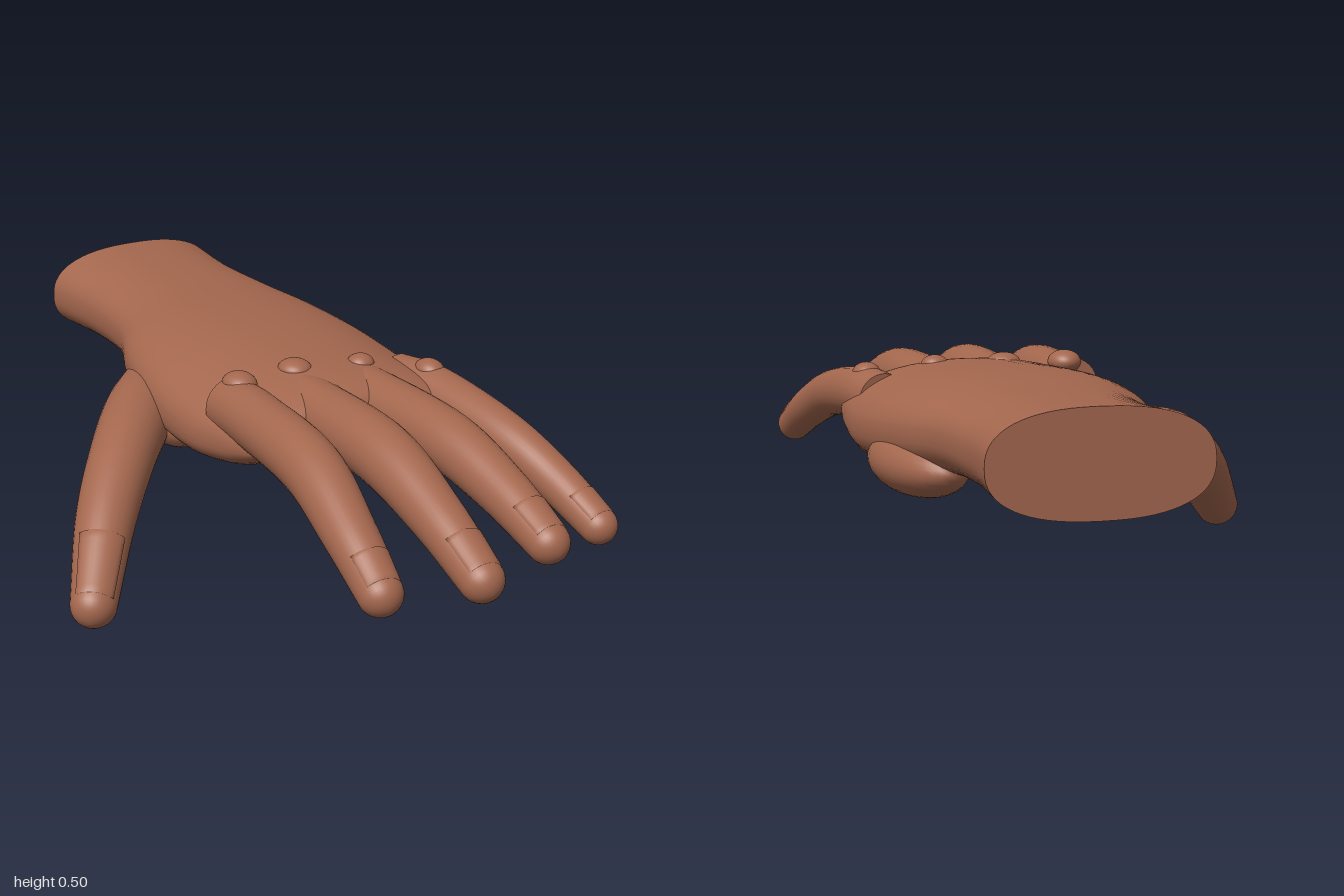
import * as THREE from 'three';

const skin = new THREE.MeshStandardMaterial({ color: 0xa4674e });
skin.name = 'skin';

const SIDES = 32;
const V = (x, y, z) => new THREE.Vector3(x, y, z);

function addMesh(parent, name, geometry) {
  const mesh = new THREE.Mesh(geometry, skin);
  mesh.name = name;
  parent.add(mesh);
  return mesh;
}

// Closed skin over rings of points, with flat caps on both ends
function loft(rings) {
  const pos = [], index = [], n = rings[0].length;
  const push = (p) => pos.push(p.x, p.y, p.z);
  rings.forEach((ring) => ring.forEach(push));
  for (let i = 0; i < rings.length - 1; i++) {
    for (let j = 0; j < n; j++) {
      const k = (j + 1) % n;
      const a = i * n + j, b = i * n + k, c = a + n, d = b + n;
      index.push(a, b, c, b, d, c);
    }
  }
  [rings[0], rings[rings.length - 1]].forEach((ring, end) => {
    const start = pos.length / 3;
    ring.forEach(push);
    push(ring.reduce((s, p) => s.add(p), V(0, 0, 0)).divideScalar(n));
    for (let j = 0; j < n; j++) {
      const k = (j + 1) % n;
      if (end) index.push(start + n, start + j, start + k);
      else index.push(start + n, start + k, start + j);
    }
  });
  const geometry = new THREE.BufferGeometry();
  geometry.setAttribute('position', new THREE.Float32BufferAttribute(pos, 3));
  geometry.setIndex(index);
  geometry.computeVertexNormals();
  return geometry;
}

// Tapered digit through [x, y, z, radius] points, with a round tip and a nail
function makeDigit(name, points, nailFrom, nailTo, nailTurn) {
  const group = new THREE.Group();
  group.name = name;
  const path = new THREE.CatmullRomCurve3(points.map((p) => V(p[0], p[1], p[2])), false, 'catmullrom', 0.5);
  const radii = new THREE.CatmullRomCurve3(points.map((p) => V(p[3], 0, 0)), false, 'catmullrom', 0.5);

  const surface = (t, angle, scale = 1, cap = 0) => {
    const tangent = path.getTangent(t);
    const side = V(0, 1, 0).cross(tangent).normalize();
    const up = tangent.clone().cross(side);
    const r = radii.getPoint(t).x;
    return path.getPoint(t)
      .addScaledVector(tangent, r * Math.sin(cap))
      .addScaledVector(side, r * scale * Math.cos(cap) * Math.cos(angle))
      .addScaledVector(up, r * scale * Math.cos(cap) * Math.sin(angle));
  };
  const ring = (t, cap) => Array.from({ length: SIDES }, (_, j) => surface(t, (j / SIDES) * Math.PI * 2, 1, cap));

  const rings = [];
  for (let i = 0; i <= 32; i++) rings.push(ring(i / 32, 0));
  for (let i = 1; i <= 9; i++) rings.push(ring(1, (i / 9) * 1.53));
  addMesh(group, name + 'Flesh', loft(rings));

  // Nail: a curved plate whose rim dips into the flesh
  const nail = new THREE.PlaneGeometry(1, 1, 12, 10);
  const p = nail.attributes.position;
  for (let i = 0; i < p.count; i++) {
    const u = p.getX(i), v = p.getY(i);
    const rim = Math.abs(u) > 0.49 || Math.abs(v) > 0.49;
    const cu = THREE.MathUtils.clamp(u, -0.417, 0.417) / 0.834;
    const cv = THREE.MathUtils.clamp(v, -0.4, 0.4) / 0.8 + 0.5;
    const q = surface(nailFrom + (nailTo - nailFrom) * cv, Math.PI / 2 + nailTurn + cu * 1.75, rim ? 0.94 : 1.035);
    p.setXYZ(i, q.x, q.y, q.z);
  }
  nail.computeVertexNormals();
  addMesh(group, name + 'Nail', nail);
  return group;
}

// Wrist and palm: z, x range, y range, sagging toward both sides
function makePalm() {
  const rows = [
    [-1, -0.025, 0.48, 0.26, 0.5, 0],
    [-0.8, -0.01, 0.465, 0.27, 0.495, 0],
    [-0.58, -0.03, 0.48, 0.275, 0.495, 0],
    [-0.4, -0.095, 0.515, 0.265, 0.5, 0.01],
    [-0.2, -0.14, 0.538, 0.25, 0.5, 0.02],
    [0, -0.145, 0.54, 0.25, 0.493, 0.03],
    [0.14, -0.125, 0.53, 0.27, 0.487, 0.03],
    [0.22, -0.112, 0.52, 0.305, 0.475, 0.03],
    [0.265, -0.1, 0.505, 0.335, 0.458, 0.03],
    [0.285, -0.08, 0.485, 0.365, 0.435, 0.03],
  ];
  const curve = (pick) => new THREE.CatmullRomCurve3(rows.map(pick), false, 'catmullrom', 0.5);
  const xs = curve((r) => V(r[1], r[2], r[0]));
  const ys = curve((r) => V(r[3], r[4], r[5]));
  const power = (c) => Math.sign(c) * Math.pow(Math.abs(c), 0.82);
  const rings = [];
  for (let i = 0; i <= 54; i++) {
    const a = xs.getPoint(i / 54), b = ys.getPoint(i / 54);
    rings.push(Array.from({ length: 64 }, (_, j) => {
      const angle = (j / 64) * Math.PI * 2;
      const c = power(Math.cos(angle)), s = power(Math.sin(angle));
      return V((a.x + a.y) / 2 + c * (a.y - a.x) / 2, (b.x + b.y) / 2 + s * (b.y - b.x) / 2 - b.z * c * c, a.z);
    }));
  }
  return loft(rings);
}

export function createModel() {
  const hand = new THREE.Group();
  hand.name = 'hand';
  addMesh(hand, 'wristAndPalm', makePalm());

  // Fleshy pads and knuckles: name, centre, radii, turn about y
  const pads = [
    ['thumbPad', [-0.03, 0.29, -0.3], [0.1, 0.085, 0.24], -0.2],
    ['outerPad', [0.45, 0.295, -0.31], [0.1, 0.077, 0.235], 0.08],
    ['fingerBasePad', [0.21, 0.295, 0.02], [0.31, 0.06, 0.13], 0],
    ['indexKnuckle', [-0.035, 0.475, 0.1], [0.042, 0.03, 0.05], 0],
    ['middleKnuckle', [0.13, 0.48, 0.085], [0.042, 0.025, 0.045], 0],
    ['ringKnuckle', [0.3, 0.475, 0.12], [0.035, 0.025, 0.035], 0],
    ['littleKnuckle', [0.46, 0.45, 0.19], [0.036, 0.03, 0.045], 0],
  ];
  for (const [name, centre, size, turn] of pads) {
    const pad = addMesh(hand, name, new THREE.SphereGeometry(1, 32, 20));
    pad.position.set(...centre);
    pad.scale.set(...size);
    pad.rotation.y = turn;
  }

  // Four fingers and the thumb
  hand.add(
    makeDigit('indexFinger', [[-0.045, 0.415, 0.08, 0.072], [-0.05, 0.418, 0.22, 0.073], [-0.07, 0.405, 0.5, 0.073],
      [-0.1, 0.33, 0.72, 0.063], [-0.115, 0.253, 0.87, 0.053]], 0.87, 1, 0),
    makeDigit('middleFinger', [[0.125, 0.405, 0.08, 0.072], [0.124, 0.41, 0.22, 0.077], [0.115, 0.408, 0.52, 0.077],
      [0.105, 0.345, 0.76, 0.064], [0.1, 0.268, 0.945, 0.053]], 0.87, 1, 0),
    makeDigit('ringFinger', [[0.285, 0.405, 0.08, 0.072], [0.29, 0.41, 0.22, 0.074], [0.295, 0.408, 0.52, 0.072],
      [0.3, 0.36, 0.74, 0.062], [0.3, 0.302, 0.915, 0.051]], 0.87, 1, 0),
    makeDigit('littleFinger', [[0.44, 0.395, 0.08, 0.066], [0.463, 0.4, 0.22, 0.066], [0.487, 0.37, 0.48, 0.06],
      [0.515, 0.31, 0.66, 0.053], [0.53, 0.25, 0.805, 0.046]], 0.87, 1, 0),
    makeDigit('thumb', [[-0.03, 0.31, -0.38, 0.08], [-0.15, 0.303, -0.225, 0.09], [-0.28, 0.268, -0.06, 0.083],
      [-0.4, 0.185, 0.09, 0.074], [-0.515, 0.058, 0.255, 0.057]], 0.83, 1, -0.15),
  );
  return hand;
}
